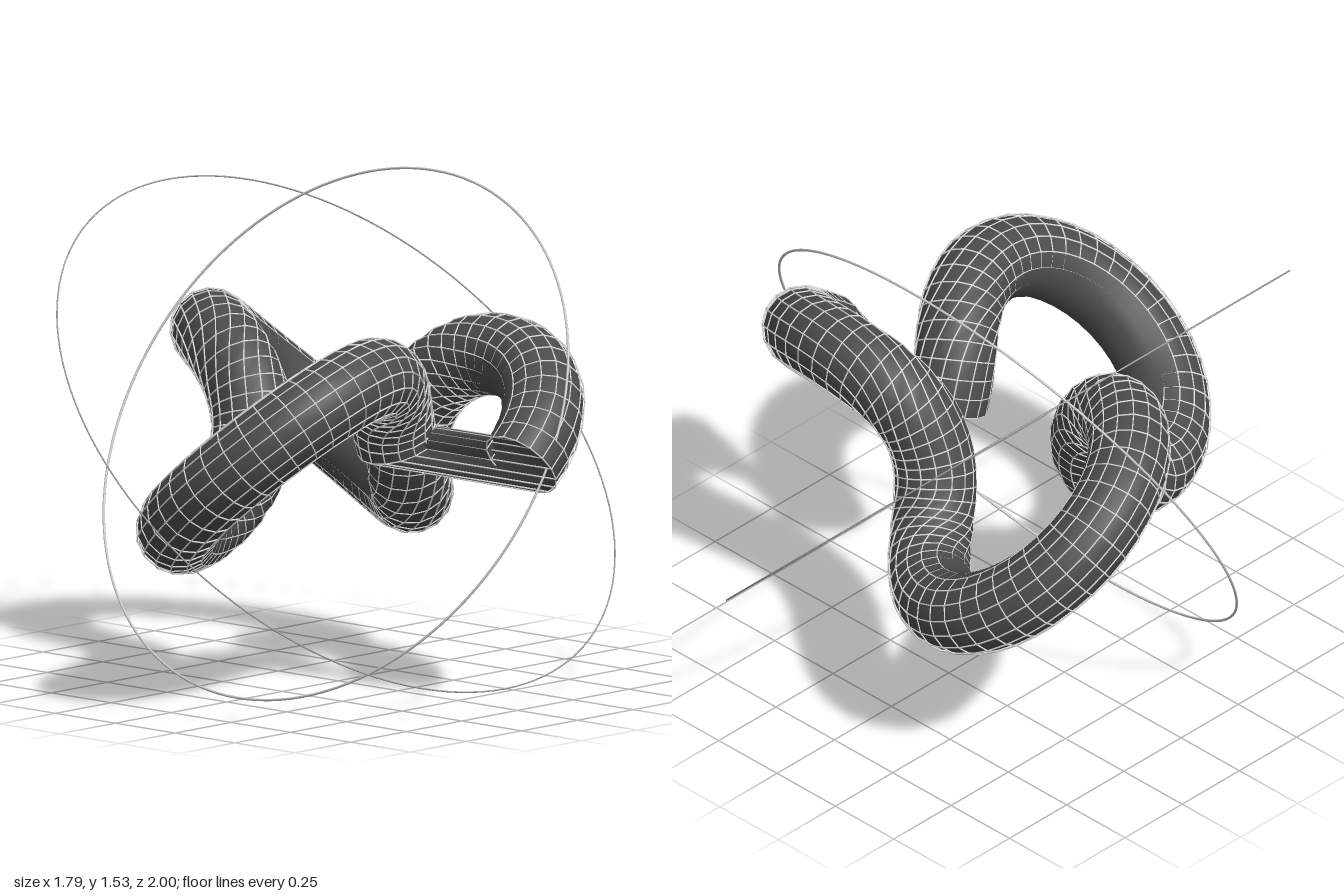
import * as THREE from 'three';
import { mergeGeometries } from 'three/addons/utils/BufferGeometryUtils.js';

const CENTRE_X = -0.009, CENTRE_Y = 0.767;
const KNOT_R = 0.512, TUBE_R = 0.1245;
const RINGS = 100, SIDES = 16, ROW = SIDES + 1;
const WIRE_SCALE = 1.008, WIRE_R = 0.0025;

function paint(name, color, side = THREE.FrontSide) {
  const material = new THREE.MeshStandardMaterial({ color, side });
  material.name = name;
  return material;
}

// Tube winding once around with two and a half waves, so its ends do not meet
function knotTube() {
  return new THREE.TorusKnotGeometry(KNOT_R, TUBE_R, RINGS, SIDES, 1, 2.5).rotateX(-Math.PI / 2);
}

// Twisted skin stretched from the last section of the tube to the first
function closingBridge(tube) {
  const pos = tube.attributes.position;
  const verts = [], index = [];
  for (const start of [RINGS * ROW, 0]) {
    for (let i = 0; i < ROW; i++) {
      verts.push(pos.getX(start + i), pos.getY(start + i), pos.getZ(start + i));
    }
  }
  for (let i = 0; i < SIDES; i++) {
    const a = i, b = ROW + i, c = ROW + i + 1, d = i + 1;
    index.push(a, b, d, b, c, d);
  }
  const geo = new THREE.BufferGeometry();
  geo.setAttribute('position', new THREE.Float32BufferAttribute(verts, 3));
  geo.setIndex(index);
  geo.computeVertexNormals();
  return geo;
}

// Thin straight wire between two points
function wire(a, b) {
  const dir = b.clone().sub(a);
  const geo = new THREE.CylinderGeometry(WIRE_R, WIRE_R, dir.length(), 4, 1, true);
  const turn = new THREE.Quaternion().setFromUnitVectors(new THREE.Vector3(0, 1, 0), dir.normalize());
  const mid = a.clone().add(b).multiplyScalar(0.5);
  return geo.applyQuaternion(turn).translate(mid.x, mid.y, mid.z);
}

// Cage of hoops and lengthwise wires lying just proud of the tube
function wireCage(tube) {
  const pos = tube.attributes.position;
  const point = (ring, side) =>
    new THREE.Vector3().fromBufferAttribute(pos, ring * ROW + side).multiplyScalar(WIRE_SCALE);
  const wires = [];
  for (let ring = 0; ring <= RINGS; ring++) {
    const next = (ring + 1) % (RINGS + 1);
    for (let side = 0; side < SIDES; side++) {
      const p = point(ring, side);
      wires.push(wire(p, point(ring, side + 1)), wire(p, point(next, side)));
    }
  }
  return mergeGeometries(wires);
}

export function createModel() {
  const group = new THREE.Group();
  const charcoal = paint('charcoal', 0x4b4b4b, THREE.DoubleSide);
  const white = paint('white', 0xffffff);
  const lightGrey = paint('lightGrey', 0xc8c8c8);
  const grey = paint('grey', 0xa0a0a0);

  const add = (name, geo, material) => {
    const mesh = new THREE.Mesh(geo, material);
    mesh.name = name;
    mesh.position.set(CENTRE_X, CENTRE_Y, 0);
    group.add(mesh);
    return mesh;
  };

  const tube = knotTube();
  add('knotTube', tube, charcoal);
  add('closingBridge', closingBridge(tube), charcoal);
  add('wireCage', wireCage(tube), white);

  // Thin orbit rings, one leaning back, one leaning sideways
  const inner = add('innerOrbitRing', new THREE.TorusGeometry(0.88, 0.004, 8, 128), lightGrey);
  inner.rotation.x = -Math.PI / 6;
  const outer = add('outerOrbitRing', new THREE.TorusGeometry(0.9975, 0.0025, 8, 128).rotateX(Math.PI / 2), grey);
  outer.rotation.z = -Math.PI / 4;

  return group;
}
